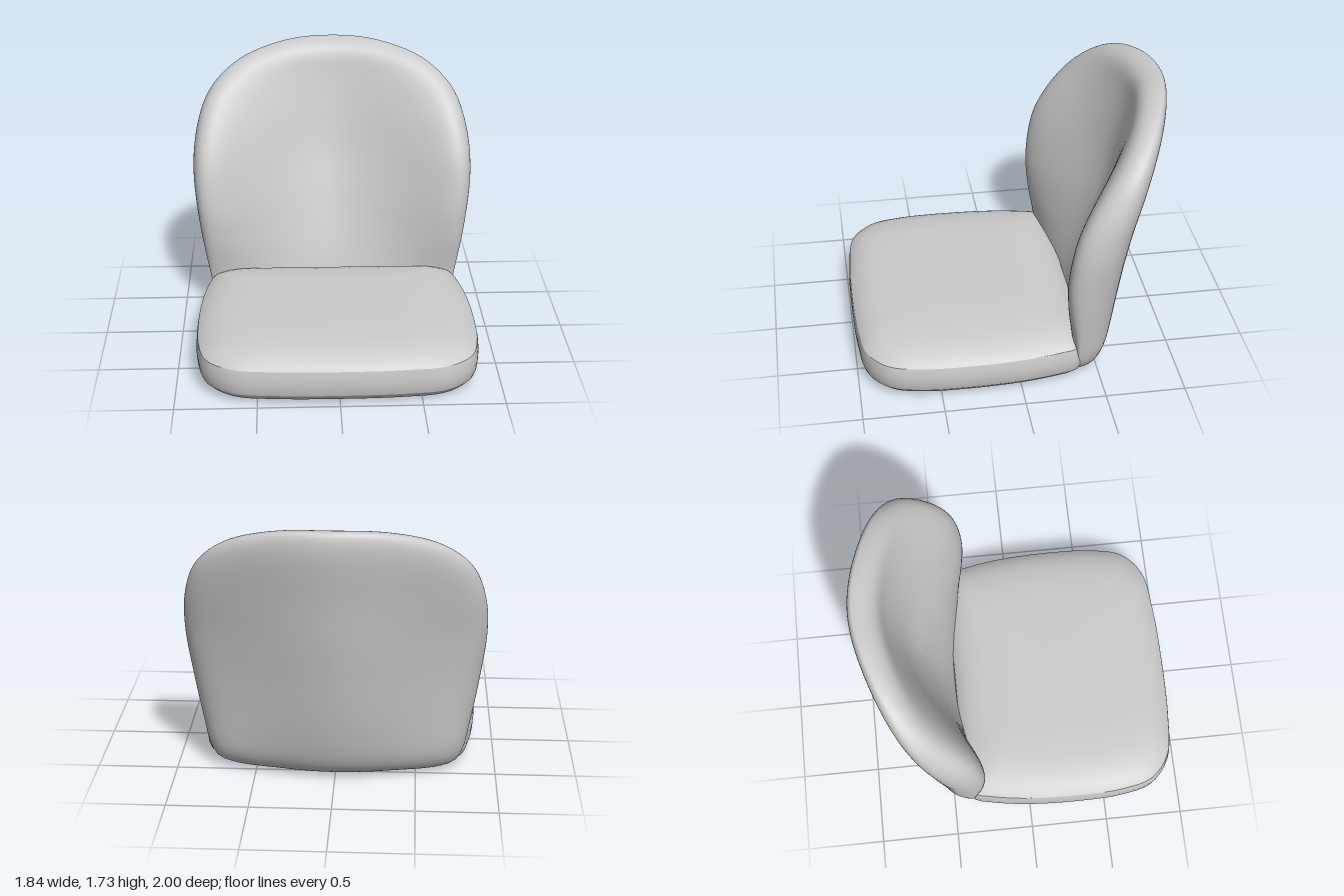
import * as THREE from 'three';

const material = new THREE.MeshStandardMaterial({ color: 0xcccccc, roughness: 0.8 });

// Smooth closed outline from one half, mirrored across x = 0
function mirroredOutline(half, count) {
  const other = half.slice(1, -1).reverse().map(([x, v]) => [-x, v]);
  const pts = [...half, ...other].map(([x, v]) => new THREE.Vector3(x, v, 0));
  return new THREE.CatmullRomCurve3(pts, true).getSpacedPoints(count).slice(0, -1);
}

// Smooth value along a short list of [position, value] pairs
function smoothTable(rows) {
  const slope = (i) => {
    const a = rows[Math.max(i - 1, 0)], b = rows[Math.min(i + 1, rows.length - 1)];
    return (b[1] - a[1]) / (b[0] - a[0]);
  };
  return (p) => {
    const q = THREE.MathUtils.clamp(p, rows[0][0], rows[rows.length - 1][0]);
    let i = 0;
    while (i < rows.length - 2 && q > rows[i + 1][0]) i++;
    const h = rows[i + 1][0] - rows[i][0], s = (q - rows[i][0]) / h;
    const s2 = s * s, s3 = s2 * s;
    return (2 * s3 - 3 * s2 + 1) * rows[i][1] + (s3 - 2 * s2 + s) * h * slope(i)
      + (3 * s2 - 2 * s3) * rows[i + 1][1] + (s3 - s2) * h * slope(i + 1);
  };
}

// Skin a list of closed rings
function loft(name, rings) {
  const n = rings[0].length, index = [];
  for (let i = 0; i < rings.length - 1; i++) {
    for (let j = 0; j < n; j++) {
      const k = (j + 1) % n;
      const a = i * n + j, b = i * n + k, c = (i + 1) * n + k, d = (i + 1) * n + j;
      index.push(a, b, c, a, c, d);
    }
  }
  const geometry = new THREE.BufferGeometry().setFromPoints(rings.flat());
  geometry.setIndex(index);
  geometry.computeVertexNormals();
  const mesh = new THREE.Mesh(geometry, material);
  mesh.name = name;
  return mesh;
}

function createSeat() {
  const seat = new THREE.Group();
  seat.name = 'seat';
  const midZ = 0.28, halfWidth = 0.88;
  const plan = mirroredOutline([
    [0, 0.992], [0.4, 0.98], [0.66, 0.94], [0.81, 0.815], [0.866, 0.6], [0.878, 0.38],
    [0.873, 0.1], [0.855, -0.1], [0.825, -0.27], [0.8, -0.36], [0.73, -0.405], [0.5, -0.42], [0, -0.42],
  ], 120);
  const ring = ([y, inset]) => plan.map((p) => {
    const scale = 1 - inset / halfWidth;
    return new THREE.Vector3(p.x * scale, y, midZ + (p.y - midZ) * scale);
  });

  // Each layer is [height, inset]; breaks between the pieces are the seams
  const base = [[0, halfWidth], [0, 0.4], [0.002, 0.13], [0.012, 0.08], [0.03, 0.04], [0.065, 0.008]];
  const band = [[0.065, 0.008], [0.1, -0.004], [0.15, -0.008], [0.2, -0.004], [0.23, 0.002]];
  const top = [[0.23, 0.002], [0.25, 0.022], [0.273, 0.06], [0.293, 0.105], [0.309, 0.17],
    [0.32, 0.25], [0.327, 0.36], [0.33, 0.5], [0.33, halfWidth]];
  seat.add(
    loft('seatBase', base.map(ring)),
    loft('seatSideBand', band.map(ring)),
    loft('seatCushionTop', top.map(ring)),
  );
  return seat;
}

function createBackrest() {
  const back = new THREE.Group();
  back.name = 'backrest';
  const midY = 0.85;
  const outline = mirroredOutline([
    [0, 0.01], [0.35, 0.01], [0.64, 0.015], [0.755, 0.05], [0.8, 0.13], [0.835, 0.3],
    [0.885, 0.6], [0.92, 0.95], [0.9, 1.2], [0.83, 1.41], [0.72, 1.54], [0.57, 1.635],
    [0.3, 1.71], [0, 1.728],
  ], 120);

  // Middle surface: centre line leaning back, wrapped forward at the sides
  const lean = smoothTable([[0, -0.5], [0.1, -0.53], [0.35, -0.6], [0.7, -0.69],
    [1, -0.775], [1.27, -0.845], [1.55, -0.925], [1.73, -0.97]]);
  const wrap = smoothTable([[0, 0.2], [0.1, 0.235], [0.5, 0.335], [0.95, 0.354], [1.27, 0.31], [1.73, 0.26]]);
  const bend = (x) => 1.27 * (Math.hypot(x, 0.3) - 0.3);
  // Padding ahead of and behind it, with fuller bolsters at the sides
  const frontPad = smoothTable([[0, 0.11], [0.1, 0.13], [0.35, 0.137], [0.7, 0.12], [1.1, 0.105],
    [1.5, 0.125], [1.73, 0.165]]);
  const bolster = smoothTable([[0, -0.15], [0.1, -0.15], [0.25, -0.11], [0.5, 0.04], [0.7, 0.15],
    [1, 0.235], [1.2, 0.22], [1.4, 0.14], [1.73, 0]]);
  const rearPad = smoothTable([[0, 0.12], [0.2, 0.14], [0.6, 0.14], [1.1, 0.105], [1.6, 0.068], [1.73, 0.055]]);

  const ring = (s, side) => {
    const t = 1 - (1 - s) ** 2.5; // rings crowd together near the rounded rim
    return outline.map((p) => {
      const x = p.x * t, y = midY + (p.y - midY) * t;
      // Rear corners are boxy; the front rolls over softly at the sides
      const power = side > 0 ? 6 + 8 * ((y - midY) / 0.88) ** 2 : 14;
      const round = Math.sqrt(1 - t ** power);
      const pad = side > 0 ? frontPad(y) + bolster(y) * x * x : -rearPad(y) * (1 + 0.3 * x * x);
      return new THREE.Vector3(x, y, lean(y) + wrap(y) * bend(x) + pad * round);
    });
  };
  const steps = Array.from({ length: 33 }, (_, i) => i / 32);
  back.add(
    loft('backrestFrontPad', [...steps].reverse().map((s) => ring(s, 1))),
    loft('backrestRearShell', steps.map((s) => ring(s, -1))),
  );
  return back;
}

export function createModel() {
  const model = new THREE.Group();
  model.name = 'seatCushions';
  model.add(createSeat(), createBackrest());
  return model;
}
